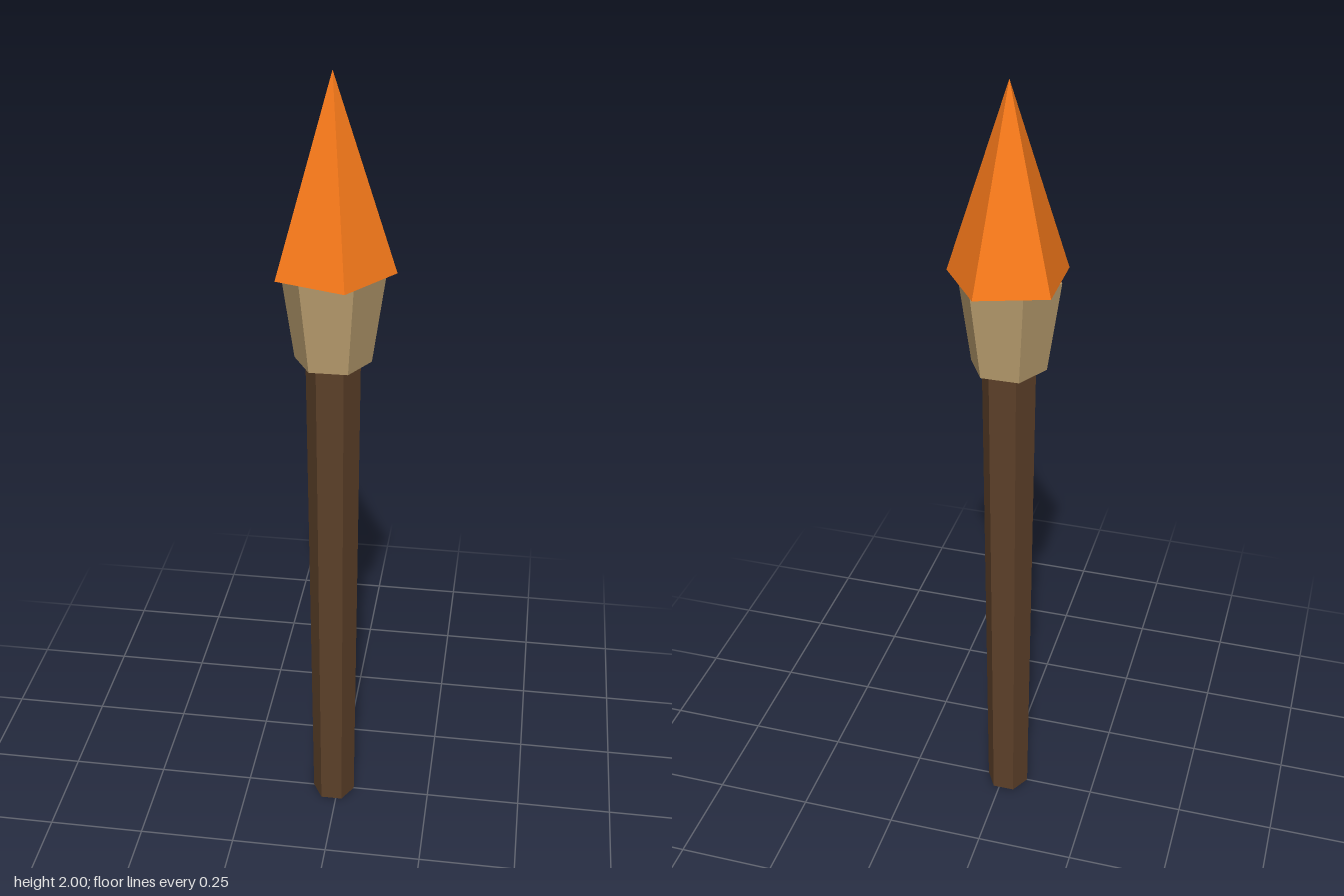
import * as THREE from 'three';

// Faceted, tapered prism with one corner pointing to +x
function prism(name, color, rTop, rBottom, y0, y1, sides) {
  const geometry = new THREE.CylinderGeometry(rTop, rBottom, y1 - y0, sides, 1, false, Math.PI / 2);
  const material = new THREE.MeshStandardMaterial({ color, flatShading: true });
  const mesh = new THREE.Mesh(geometry, material);
  mesh.name = name;
  mesh.position.set(-0.012, (y0 + y1) / 2, 0);
  return mesh;
}

export function createModel() {
  const torch = new THREE.Group();
  torch.name = 'torch';
  torch.add(
    // Wooden shaft, slightly wider at the top
    prism('handle', 0x5c4029, 0.066, 0.056, 0, 1.32, 6),
    // Cloth wrap flaring up to the flame
    prism('wrap', 0xbca070, 0.124, 0.092, 1.32, 1.545, 6),
    // Five-sided flame
    prism('flame', 0xf97a1a, 0, 0.148, 1.545, 2, 5),
  );
  return torch;
}
